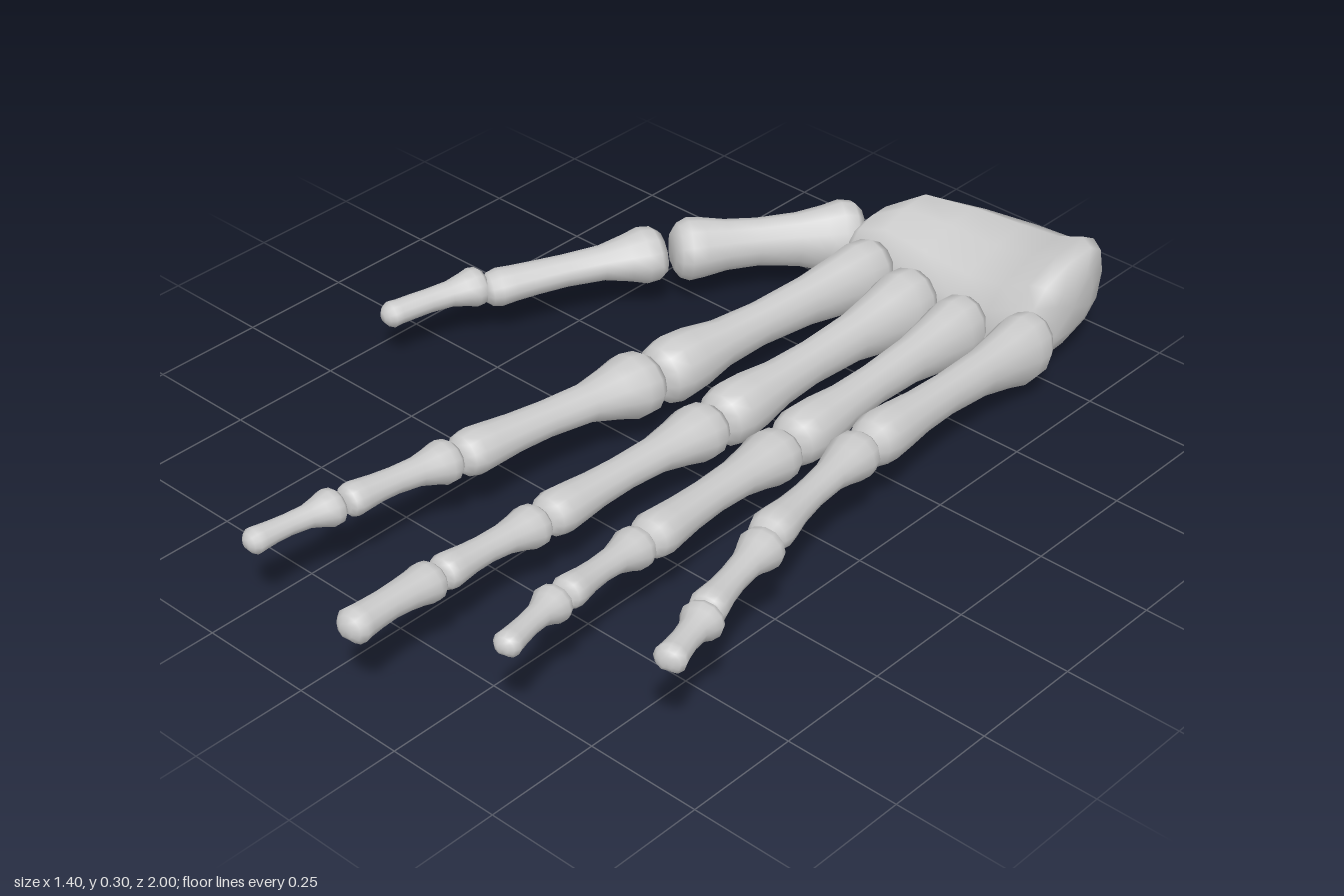
import * as THREE from 'three';

const V = (x, y, z) => new THREE.Vector3(x, y, z);
const SIDES = 12;
const material = new THREE.MeshStandardMaterial({ color: 0xcccccc });

// Closed skin over rings of points; start and end are the cap centres
function loft(name, rings, start, end) {
  const points = [...rings.flat(), start, end];
  const index = [], n = SIDES, last = (rings.length - 1) * n;
  const s = rings.length * n, e = s + 1;
  for (let j = 0; j < n; j++) {
    const k = (j + 1) % n;
    for (let i = 0; i < rings.length - 1; i++) {
      const a = i * n, b = a + n;
      index.push(a + j, a + k, b + k, a + j, b + k, b + j);
    }
    index.push(s, k, j, e, last + j, last + k);
  }
  const geometry = new THREE.BufferGeometry().setFromPoints(points);
  geometry.setIndex(index);
  geometry.computeVertexNormals();
  const mesh = new THREE.Mesh(geometry, material);
  mesh.name = name;
  return mesh;
}

// Long bone: flared base, narrow shaft, knuckled head.
// Widths are diameters at base, shaft and head; tall is the height ratio at base and head.
function bone(name, a, b, [base, shaft, head], tall = [1, 0.9], tip = false) {
  const from = V(...a), to = V(...b);
  const dir = to.clone().sub(from), length = dir.length();
  dir.normalize();
  const side = V(0, 1, 0).cross(dir).normalize();
  const up = dir.clone().cross(side);
  const profile = [
    [0, base * 0.76], [0.04, base * 0.95], [0.11, base], [0.2, base * 0.6 + shaft * 0.4],
    [0.34, shaft * 1.08], [0.55, shaft], [0.72, shaft * 0.75 + head * 0.25],
    [0.84, head * 0.93], [0.92, head], [0.97, head * (tip ? 0.75 : 0.88)], [1, head * (tip ? 0.4 : 0.62)],
  ];
  const rings = profile.map(([t, width]) => {
    const ratio = THREE.MathUtils.lerp(tall[0], tall[1], t);
    const arch = 0.08 * shaft * Math.sin(Math.PI * t);
    return Array.from({ length: SIDES }, (_, j) => {
      const f = (j / SIDES) * Math.PI * 2;
      // flatter underside with two condyles near the ends
      const groove = Math.sin(f) < -0.9 && Math.abs(t - 0.5) > 0.3 ? 0.84 : 1;
      return from.clone().addScaledVector(dir, t * length)
        .addScaledVector(side, Math.cos(f) * width / 2)
        .addScaledVector(up, Math.sin(f) * groove * ratio * width / 2 + arch);
    });
  });
  const start = from.clone().addScaledVector(dir, 0.02 * length);
  return loft(name, rings, start, to);
}

// Wrist block: sections across x as [x, zBack, zFront, yBottom, yTop]
function carpalBlock() {
  const sections = [
    [-0.145, -0.80, -0.72, 0.08, 0.16], [-0.12, -0.85, -0.705, 0.05, 0.19],
    [-0.06, -0.93, -0.70, 0.025, 0.215], [0.05, -0.97, -0.69, 0.01, 0.21],
    [0.17, -0.995, -0.68, 0.01, 0.205], [0.27, -0.98, -0.67, 0.015, 0.225],
    [0.34, -0.965, -0.665, 0.035, 0.26], [0.375, -0.94, -0.69, 0.06, 0.255],
    [0.395, -0.88, -0.75, 0.10, 0.22],
  ];
  const soft = (v) => Math.sign(v) * Math.abs(v) ** 0.72;
  const rings = sections.map(([x, z0, z1, y0, y1]) => Array.from({ length: SIDES }, (_, j) => {
    const f = (j / SIDES) * Math.PI * 2;
    const dz = -soft(Math.cos(f)) * (z1 - z0) / 2;
    const dy = soft(Math.sin(f)) * (y1 - y0) / 2;
    return V(x, (y0 + y1) / 2 + dy - dz * 0.2, (z0 + z1) / 2 + dz);
  }));
  return loft('carpalBlock', rings, V(-0.15, 0.12, -0.76), V(0.4, 0.16, -0.81));
}

// Each digit lists its bones: start, end, widths
const digits = {
  thumb: [
    [[-0.165, 0.11, -0.79], [-0.405, 0.13, -0.445], [0.14, 0.095, 0.135]],
    [[-0.42, 0.13, -0.425], [-0.6, 0.12, -0.065], [0.13, 0.075, 0.09]],
    [[-0.615, 0.125, -0.075], [-0.68, 0.12, 0.155], [0.09, 0.055, 0.062]],
  ],
  indexFinger: [
    [[-0.045, 0.12, -0.71], [-0.095, 0.13, -0.05], [0.125, 0.085, 0.14]],
    [[-0.1, 0.13, -0.045], [-0.15, 0.165, 0.45], [0.145, 0.08, 0.105]],
    [[-0.155, 0.165, 0.455], [-0.175, 0.19, 0.72], [0.095, 0.058, 0.075]],
    [[-0.18, 0.19, 0.73], [-0.2, 0.2, 0.94], [0.08, 0.046, 0.058]],
  ],
  middleFinger: [
    [[0.09, 0.11, -0.68], [0.095, 0.12, -0.025], [0.14, 0.085, 0.13]],
    [[0.095, 0.12, -0.02], [0.11, 0.16, 0.475], [0.125, 0.075, 0.1]],
    [[0.11, 0.16, 0.485], [0.12, 0.19, 0.755], [0.092, 0.06, 0.078]],
    [[0.12, 0.19, 0.765], [0.14, 0.215, 1.0], [0.085, 0.065, 0.078]],
  ],
  ringFinger: [
    [[0.225, 0.11, -0.68], [0.26, 0.13, -0.055], [0.125, 0.08, 0.12]],
    [[0.265, 0.13, -0.04], [0.325, 0.19, 0.425], [0.12, 0.078, 0.1]],
    [[0.325, 0.19, 0.435], [0.37, 0.235, 0.685], [0.09, 0.054, 0.072]],
    [[0.375, 0.24, 0.705], [0.425, 0.265, 0.89], [0.08, 0.046, 0.056]],
  ],
  littleFinger: [
    [[0.375, 0.115, -0.71], [0.42, 0.18, -0.1], [0.125, 0.08, 0.11]],
    [[0.42, 0.18, -0.09], [0.515, 0.23, 0.305], [0.105, 0.062, 0.09]],
    [[0.53, 0.23, 0.315], [0.6, 0.25, 0.565], [0.092, 0.056, 0.075]],
    [[0.615, 0.255, 0.575], [0.665, 0.27, 0.73], [0.085, 0.052, 0.065]],
  ],
};

export function createModel() {
  const hand = new THREE.Group();
  hand.name = 'handSkeleton';
  hand.add(carpalBlock());
  for (const [name, bones] of Object.entries(digits)) {
    const digit = new THREE.Group();
    digit.name = name;
    const parts = bones.length === 4
      ? ['Metacarpal', 'ProximalBone', 'MiddleBone', 'Tip']
      : ['Metacarpal', 'ProximalBone', 'Tip'];
    bones.forEach(([a, b, widths], i) => {
      const tall = i === 0 ? [1.3, 1] : [0.95, 0.9];
      digit.add(bone(name + parts[i], a, b, widths, tall, parts[i] === 'Tip'));
    });
    hand.add(digit);
  }
  return hand;
}
